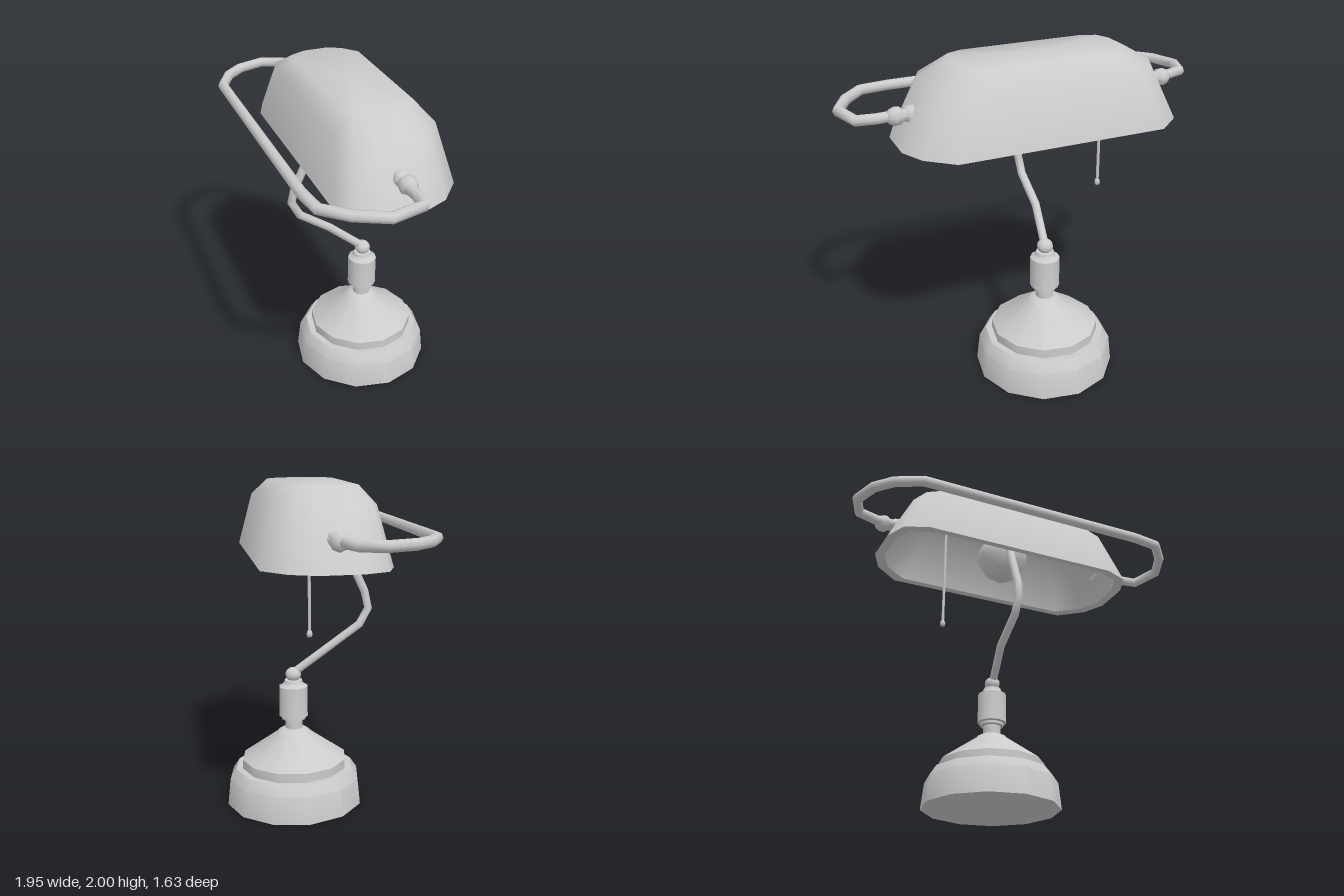
import * as THREE from 'three';
import { toCreasedNormals } from 'three/addons/utils/BufferGeometryUtils.js';

const material = new THREE.MeshStandardMaterial({ color: 0xcccccc });
const V2 = (p) => new THREE.Vector2(p[0], p[1]);
const V3 = (p) => new THREE.Vector3(p[0], p[1], p[2]);

function part(name, geometry, position = [0, 0, 0]) {
  const mesh = new THREE.Mesh(geometry, material);
  mesh.name = name;
  mesh.position.set(...position);
  return mesh;
}

// Turned part from [radius, height] pairs, bottom to top
function turned(profile, sides, crease = 0.65) {
  return toCreasedNormals(new THREE.LatheGeometry(profile.map(V2), sides), crease);
}

// Round bar with one ring of vertices at each path point
function bar(points, radius, sides = 8) {
  const curve = new THREE.CatmullRomCurve3(points.map(V3));
  curve.getPointAt = (t, target) => curve.getPoint(t, target);
  curve.getTangentAt = (t, target) => curve.getTangent(t, target);
  return new THREE.TubeGeometry(curve, points.length - 1, radius, sides, false);
}

// Closed skin through scaled copies of an outline, given as [height, scaleX, scaleZ]
function loft(outline, levels) {
  const n = outline.length, positions = [], index = [];
  for (const [y, sx, sz] of levels)
    for (const [x, z] of outline) positions.push(x * sx, y, z * sz);
  for (let k = 0; k < levels.length - 1; k++)
    for (let i = 0; i < n; i++) {
      const j = (i + 1) % n, a = k * n, b = a + n;
      index.push(a + i, a + j, b + j, a + i, b + j, b + i);
    }
  const g = new THREE.BufferGeometry();
  g.setAttribute('position', new THREE.Float32BufferAttribute(positions, 3));
  g.setIndex(index);
  return toCreasedNormals(g, 1.05);
}

export function createModel() {
  const model = new THREE.Group();
  model.name = 'deskLamp';

  // Stand: base, drum, cone and grip on one axis
  const stand = new THREE.Group();
  stand.name = 'stand';
  stand.position.set(0.155, 0, -0.258);
  stand.add(part('base', turned([
    [0, 0], [0.43, 0], [0.412, 0.165], [0.37, 0.228], [0.33, 0.228],
    [0.33, 0.285], [0.105, 0.445], [0.095, 0.458], [0.075, 0.468], [0.055, 0.475],
  ], 12)));
  stand.add(part('grip', turned([
    [0.055, 0.47], [0.055, 0.53], [0.075, 0.533], [0.075, 0.55], [0.092, 0.555],
    [0.09, 0.57], [0.09, 0.745], [0.075, 0.752], [0.06, 0.765], [0.055, 0.785], [0, 0.79],
  ], 12)));
  const joint = part('ballJoint', new THREE.SphereGeometry(0.05, 10, 8), [0, 0.82, 0]);
  joint.scale.y = 0.9;
  stand.add(joint);
  model.add(stand);

  // Bent arm running up inside the shade
  model.add(part('arm', bar([
    [0.155, 0.83, -0.255], [0, 0.995, -0.1], [-0.105, 1.13, 0.065], [-0.135, 1.23, 0.11],
    [-0.117, 1.335, 0.095], [-0.05, 1.57, 0.01], [0.03, 1.83, -0.08], [0.075, 1.97, -0.14],
  ], 0.026)));

  // Head, turned on the stand
  const head = new THREE.Group();
  head.name = 'head';
  head.position.set(0.085, 0, -0.147);
  head.rotation.y = -0.6;
  model.add(head);

  // Hollow shade, from inner ceiling round the rim to outer top
  const half = [[0.63, 0.337], [0.78, 0.277], [0.84, 0.133], [0.845, -0.115], [0.777, -0.263], [0.625, -0.392]];
  const outline = [...half, ...half.map(([x, z]) => [-x, z]).reverse()];
  head.add(part('shade', loft(outline, [
    [1.96, 0, 0], [1.96, 0.54, 0.5], [1.87, 0.75, 0.69], [1.57, 0.93, 0.88],
    [1.57, 1, 1], [1.9, 0.805, 0.8], [2, 0.6, 0.58], [2, 0, 0],
  ])));

  // Bulb with neck
  head.add(part('bulb', turned([
    [0, 1.515], [0.05, 1.525], [0.115, 1.57], [0.165, 1.65], [0.165, 1.72],
    [0.12, 1.8], [0.06, 1.85], [0.06, 1.97],
  ], 10, 1.2)));

  // Pull chain
  head.add(part('pullChain', new THREE.CylinderGeometry(0.009, 0.009, 0.78, 6), [-0.375, 1.57, -0.087]));
  head.add(part('pullKnob', turned([
    [0, 1.138], [0.014, 1.143], [0.018, 1.16], [0.012, 1.178], [0, 1.185],
  ], 8, 1.2), [-0.375, 0, -0.087]));

  // Pivot knobs at both ends of the shade
  for (const side of [-1, 1]) {
    const knob = part(side > 0 ? 'leftPivot' : 'rightPivot', turned([
      [0, -0.05], [0.055, -0.05], [0.05, 0.015], [0.035, 0.03], [0.035, 0.04], [0.053, 0.06],
      [0.055, 0.085], [0.045, 0.11], [0.032, 0.125], [0, 0.13],
    ], 8, 0.9), [side * 0.755, 1.74, -0.005]);
    knob.rotation.z = -side * Math.PI / 2;
    head.add(knob);
  }

  // Handle rail looping round the front of the shade
  const rail = [
    [-0.56, -0.575], [-0.66, -0.635], [-0.78, -0.67], [-0.9, -0.585], [-0.945, -0.42],
    [-0.925, -0.28], [-0.84, -0.125], [0.38, 0.7], [0.535, 0.778], [0.71, 0.735],
    [0.875, 0.64], [0.942, 0.455], [0.86, 0.38], [0.75, 0.32],
  ];
  model.add(part('rail', bar(rail.map(([x, z]) => [x, 1.74, z]), 0.032)));

  return model;
}
